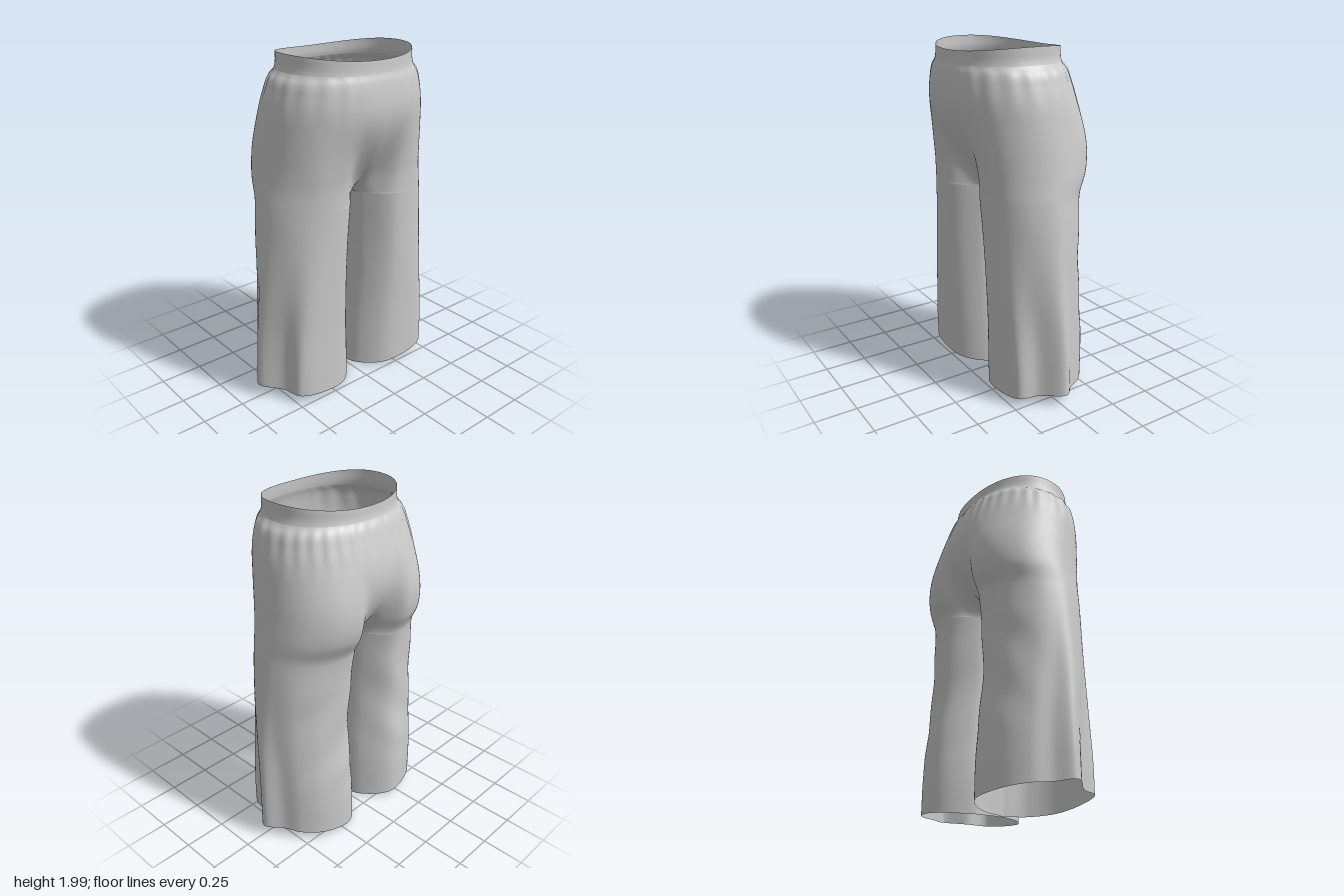
import * as THREE from 'three';
import { mergeVertices } from 'three/addons/utils/BufferGeometryUtils.js';

const COLS = 110;
const smooth = THREE.MathUtils.smoothstep;
const mix = THREE.MathUtils.lerp;

// Height, then half width, front depth, back depth and inner-leg gap
const SIZES = [
  [0, .625, .245, -.31, .006], [.2, .62, .25, -.31, .012], [.4, .61, .256, -.3, .02],
  [.6, .597, .266, -.282, .025], [.8, .582, .275, -.276, .022], [1, .565, .284, -.284, .012],
  [1.1, .556, .289, -.288, .005], [1.2, .545, .295, -.302, 0], [1.3, .533, .31, -.355, 0],
  [1.4, .52, .335, -.382, 0], [1.5, .508, .36, -.387, 0], [1.6, .495, .38, -.372, 0],
  [1.7, .482, .39, -.345, 0], [1.8, .458, .385, -.312, 0], [1.87, .432, .372, -.285, 0],
  [1.9, .402, .362, -.266, 0], [1.97, .393, .355, -.257, 0],
];
const sizeAt = new THREE.CubicInterpolant(
  SIZES.map(r => r[0]), SIZES.flatMap(r => r.slice(1)), 4);

// Normalised half sections, from front centre round the outside to back centre
const HIP = [0, 12, 28, 48, 68, 86, 104, 122, 140, 156, 168, 180].map(d => {
  const a = d * Math.PI / 180, c = Math.cos(a);
  return [Math.sin(a) ** .92, Math.sign(c) * Math.abs(c) ** .92];
});
const THIGH = [[0, .06], [.1, .52], [.32, .94], [.65, .9], [.88, .58], [1, .1],
  [.97, -.25], [.86, -.6], [.62, -.92], [.32, -1], [.1, -.55], [0, .06]];
const HEM = [[0, .08], [.08, .55], [.3, .96], [.77, .92], [.84, .52], [1, .08],
  [.88, -.25], [.79, -.6], [.6, -.92], [.3, -1], [.07, -.5], [0, .08]];
const CROTCH = 1.18, SEAT = 1.72;
// how closely each point follows the rounded centre seam through the crotch
const SEAM = [1, .6, .2, 0, 0, 0, 0, 0, 0, .2, .6, 1];

// One half section at height y, as a row of points on the +x side
function section(y) {
  const [w, front, back, gap] = sizeAt.evaluate(y);
  const mid = (front + back) / 2, half = (front - back) / 2;
  const above = y >= CROTCH;
  const t = Math.min(1, (y - CROTCH) / (SEAT - CROTCH));
  const from = above ? HIP : THIGH, to = above ? THIGH : HEM;
  const curve = new THREE.CatmullRomCurve3(from.map(([u, v], i) => {
    const k = above ? 1 - mix(smooth(t, 0, 1), Math.sqrt(1 - (1 - t) ** 2), SEAM[i])
      : smooth(CROTCH - y, 0, 1.1);
    return new THREE.Vector3(
      gap + mix(u, to[i][0], k) * (w - gap), y, mid + mix(v, to[i][1], k) * half);
  }));
  const row = [];
  for (let i = 0; i <= COLS; i++) {
    const s = i / COLS, p = curve.getPoint(s);
    // gathers under the waistband, fading downwards and towards the front centre
    const gather = smooth(y, 1.62, 1.87) * (1 - smooth(y, 1.875, 1.9)) * smooth(s, .05, .25);
    const r = 1 + .008 * gather * Math.cos(s * Math.PI * 30 + 2 * Math.sin(s * 9));
    p.x *= r;
    p.z = mid + (p.z - mid) * r;
    // soft diagonal folds on the back of the legs
    const rear = smooth(s, .55, .7) * (1 - smooth(s, .85, .97));
    const leg = smooth(y, .2, .5) * (1 - smooth(y, .85, 1.2));
    p.z += .004 * rear * leg * Math.sin(y * 16 + p.x * 16);
    // hem rises outwards, waist rises at the sides
    p.y += (.006 + .085 * p.x + .05 * p.x ** 2) * Math.max(0, 1 - y);
    p.y += .03 * (p.x / .39) ** 2 * smooth(y, 1.87, 1.97);
    row.push(p);
  }
  return row;
}

// Both mirrored halves welded into one smooth sheet
function sheet(name, heights, material) {
  const rows = heights.map(section), pos = [], idx = [];
  for (const side of [1, -1]) {
    const base = pos.length / 3;
    for (const row of rows) for (const p of row) pos.push(side * p.x, p.y, p.z);
    for (let j = 0; j < rows.length - 1; j++) {
      for (let i = 0; i < COLS; i++) {
        const a = base + j * (COLS + 1) + i, b = a + 1, c = a + COLS + 1, d = c + 1;
        if (side > 0) idx.push(a, b, d, a, d, c);
        else idx.push(a, d, b, a, c, d);
      }
    }
  }
  let geo = new THREE.BufferGeometry();
  geo.setAttribute('position', new THREE.Float32BufferAttribute(pos, 3));
  geo.setIndex(idx);
  geo = mergeVertices(geo, 1e-5);
  // the waist sits slightly off centre
  const p = geo.attributes.position;
  for (let i = 0; i < p.count; i++) p.setX(i, p.getX(i) - .012 * smooth(p.getY(i), .3, 1.9));
  geo.computeVertexNormals();
  const mesh = new THREE.Mesh(geo, material);
  mesh.name = name;
  return mesh;
}

const steps = (n, f) => Array.from({ length: n + 1 }, (_, i) => f(i / n));

export function createModel() {
  const group = new THREE.Group();
  group.name = 'wideLegTrousers';
  const cloth = new THREE.MeshStandardMaterial({ color: 0xcccccc, side: THREE.DoubleSide });

  // legs, crotch and hips; rows crowd together where the legs meet
  const heights = [
    ...steps(44, t => t * CROTCH),
    ...steps(36, t => CROTCH + (SEAT - CROTCH) * t ** 2).slice(1),
    ...steps(20, t => SEAT + (1.9 - SEAT) * t).slice(1),
  ];
  group.add(sheet('legsAndHips', heights, cloth));
  group.add(sheet('waistband', steps(6, t => 1.9 + .07 * t), cloth));
  return group;
}
